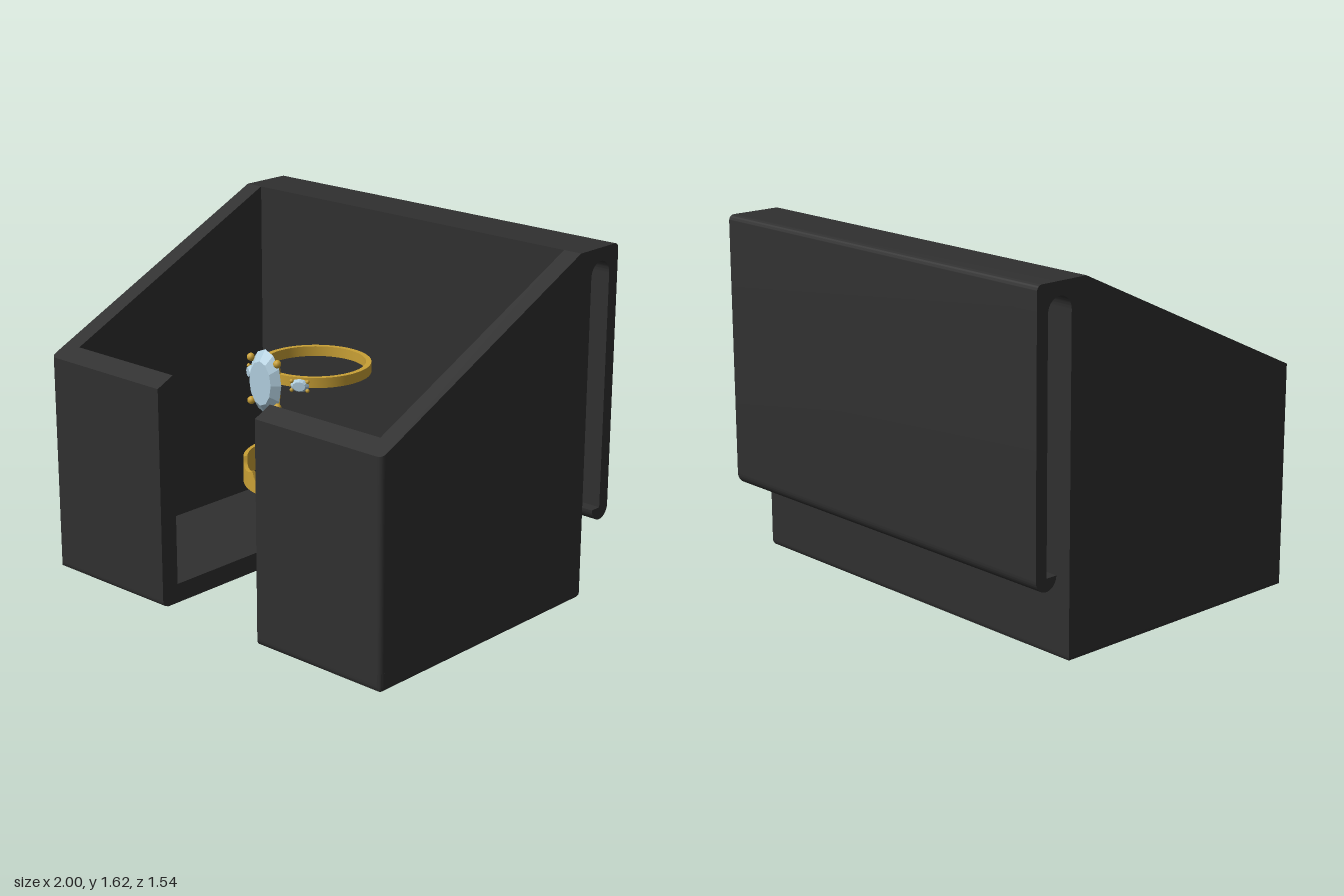
import * as THREE from 'three';
import { toCreasedNormals } from 'three/addons/utils/BufferGeometryUtils.js';

const FRONT = 0.77, BACK = -0.58, INNER_BACK = -0.5, FLOOR = 0.09, NOTCH = 0.295, R = 0.03;

const black = new THREE.MeshStandardMaterial({ color: 0x303030 });
black.name = 'matte black';
const gold = new THREE.MeshStandardMaterial({ color: 0xc9a035 });
gold.name = 'gold';
const ice = new THREE.MeshStandardMaterial({ color: 0xb0cddd });
ice.name = 'pale blue gem';

function add(parent, name, geometry, material) {
  const mesh = new THREE.Mesh(geometry, material);
  mesh.name = name;
  parent.add(mesh);
  return mesh;
}

// Move every vertex by a rule, then rebuild normals with sharp creases
function reshape(geometry, rule) {
  const p = geometry.attributes.position, v = new THREE.Vector3();
  for (let i = 0; i < p.count; i++) {
    rule(v.fromBufferAttribute(p, i));
    p.setXYZ(i, v.x, v.y, v.z);
  }
  return toCreasedNormals(geometry, 0.6);
}

// Base plate with a round-ended notch and a rounded lower rim
function floorGeometry() {
  const s = new THREE.Shape();
  s.moveTo(-1, -BACK);
  s.lineTo(-1, -FRONT + R);
  s.quadraticCurveTo(-1, -FRONT, -1 + R, -FRONT);
  s.lineTo(-NOTCH, -FRONT);
  s.lineTo(-NOTCH, -0.17);
  s.absarc(0, -0.17, NOTCH, Math.PI, 0, true);
  s.lineTo(NOTCH, -FRONT);
  s.lineTo(1 - R, -FRONT);
  s.quadraticCurveTo(1, -FRONT, 1, -FRONT + R);
  s.lineTo(1, -BACK);
  const g = new THREE.ExtrudeGeometry(s, { depth: FLOOR, steps: 9, bevelEnabled: false, curveSegments: 24 });
  g.rotateX(-Math.PI / 2);
  return reshape(g, v => {
    const h = Math.min(R, Math.max(0, v.y));
    const d = R - Math.sqrt(R * R - (R - h) ** 2);
    v.x = THREE.MathUtils.clamp(v.x, -1 + d, 1 - d);
    v.z = THREE.MathUtils.clamp(v.z, BACK + d, FRONT - d);
  });
}

// L-shaped side and front wall whose top follows the slope
function wallGeometry(side) {
  const s = new THREE.Shape();
  s.moveTo(side, -INNER_BACK);
  s.lineTo(side, -FRONT + R);
  s.quadraticCurveTo(side, -FRONT, side * (1 - R), -FRONT);
  s.lineTo(side * NOTCH, -FRONT);
  s.lineTo(side * NOTCH, -0.68);
  s.lineTo(side * 0.91, -0.68);
  s.lineTo(side * 0.91, -INNER_BACK);
  const g = new THREE.ExtrudeGeometry(s, { depth: 1, bevelEnabled: false, curveSegments: 6 });
  g.rotateX(-Math.PI / 2);
  return reshape(g, v => {
    v.y = v.y > 0.5 ? 1.03 + (FRONT - v.z) * 0.59 / (FRONT - INNER_BACK) : FLOOR;
  });
}

// Back wall running over the top into a hanging clip with a curled lip
function backGeometry() {
  const s = new THREE.Shape();
  s.moveTo(0.5, FLOOR);
  s.lineTo(0.58, FLOOR);
  s.lineTo(0.58, 1.495);
  s.absarc(0.645, 1.495, 0.065, Math.PI, 0, true);
  s.lineTo(0.71, 0.405);
  s.lineTo(0.655, 0.405);
  s.absarc(0.7125, 0.405, 0.0575, Math.PI, Math.PI * 2, false);
  s.lineTo(0.77, 1.59);
  s.quadraticCurveTo(0.77, 1.62, 0.74, 1.62);
  s.lineTo(0.5, 1.62);
  const g = new THREE.ExtrudeGeometry(s, { depth: 2, bevelEnabled: false, curveSegments: 16 });
  g.rotateY(Math.PI / 2).translate(-1, 0, 0);
  return toCreasedNormals(g, 0.6);
}

// Ring band; top(x, z) gives the height of its upper edge
function bandGeometry(inner, outer, bottom, top) {
  const pts = [[inner, 0], [outer, 0], [outer, 1], [inner, 1], [inner, 0]];
  const g = new THREE.LatheGeometry(pts.map(p => new THREE.Vector2(...p)), 144);
  return reshape(g, v => { v.y = v.y > 0.5 ? top(v.x, v.z) : bottom; });
}

// Faceted gem pointing along +z, culet at the origin
function gemGeometry(rx, ry, girdle, table) {
  const pts = [[0, 0], [1, girdle], [0.68, table], [0, table]];
  let g = new THREE.LatheGeometry(pts.map(p => new THREE.Vector2(...p)), 12);
  g.rotateX(Math.PI / 2).scale(rx, ry, 1);
  g = g.toNonIndexed();
  g.computeVertexNormals();
  return g;
}

function rod(parent, name, a, b, radius) {
  const dir = b.clone().sub(a);
  const mesh = add(parent, name, new THREE.CylinderGeometry(radius, radius, dir.length(), 10), gold);
  mesh.position.copy(a).add(b).multiplyScalar(0.5);
  mesh.quaternion.setFromUnitVectors(new THREE.Vector3(0, 1, 0), dir.normalize());
}

// Gem held by four ball-tipped prongs
function gemSetting(name, rx, ry, girdle, table, prong) {
  const group = new THREE.Group();
  group.name = name;
  add(group, 'gem', gemGeometry(rx, ry, girdle, table), ice);
  for (const sx of [-1, 1]) for (const sy of [-1, 1]) {
    const tip = new THREE.Vector3(sx * rx * 0.84, sy * ry * 0.67, girdle + prong * 0.5);
    rod(group, 'prong', new THREE.Vector3(0, sy * prong, 0.005), tip, prong * 0.6);
    add(group, 'prongTip', new THREE.SphereGeometry(prong, 12, 8), gold).position.copy(tip);
  }
  return group;
}

export function createModel() {
  const model = new THREE.Group();
  model.name = 'ringHolder';

  const holder = new THREE.Group();
  holder.name = 'holder';
  model.add(holder);
  add(holder, 'floor', floorGeometry(), black);
  add(holder, 'leftWall', wallGeometry(1), black);
  add(holder, 'rightWall', wallGeometry(-1), black);
  add(holder, 'backWallAndClip', backGeometry(), black);

  // Upper ring with one large and two small gems
  const gemRing = new THREE.Group();
  gemRing.name = 'gemRing';
  gemRing.position.set(0, 1.042, 0.09);
  model.add(gemRing);
  add(gemRing, 'gemRingBand', bandGeometry(0.226, 0.25, -0.023, () => 0.023), gold);
  const main = gemSetting('mainGem', 0.095, 0.148, 0.085, 0.12, 0.018);
  main.position.z = 0.23;
  gemRing.add(main);
  for (const side of [-1, 1]) {
    const small = gemSetting('sideGem', 0.042, 0.03, 0.052, 0.07, 0.009);
    const a = side * Math.PI / 6;
    small.position.set(Math.sin(a) * 0.24, 0, Math.cos(a) * 0.24);
    small.rotation.y = a;
    gemRing.add(small);
  }

  // Lower band with three scallops cut from the front of its upper edge
  const scallop = (x, z) => {
    if (z < 0) return 0.115;
    const dip = (c, w, d) => d * Math.sqrt(Math.max(0, 1 - ((x - c) / w) ** 2));
    return 0.115 - Math.max(dip(0, 0.075, 0.08), dip(0.135, 0.065, 0.035), dip(-0.135, 0.065, 0.035));
  };
  const band = add(model, 'scallopedBand', bandGeometry(0.275, 0.293, 0, scallop), gold);
  band.position.set(0, 0.515, 0.135);

  return model;
}
